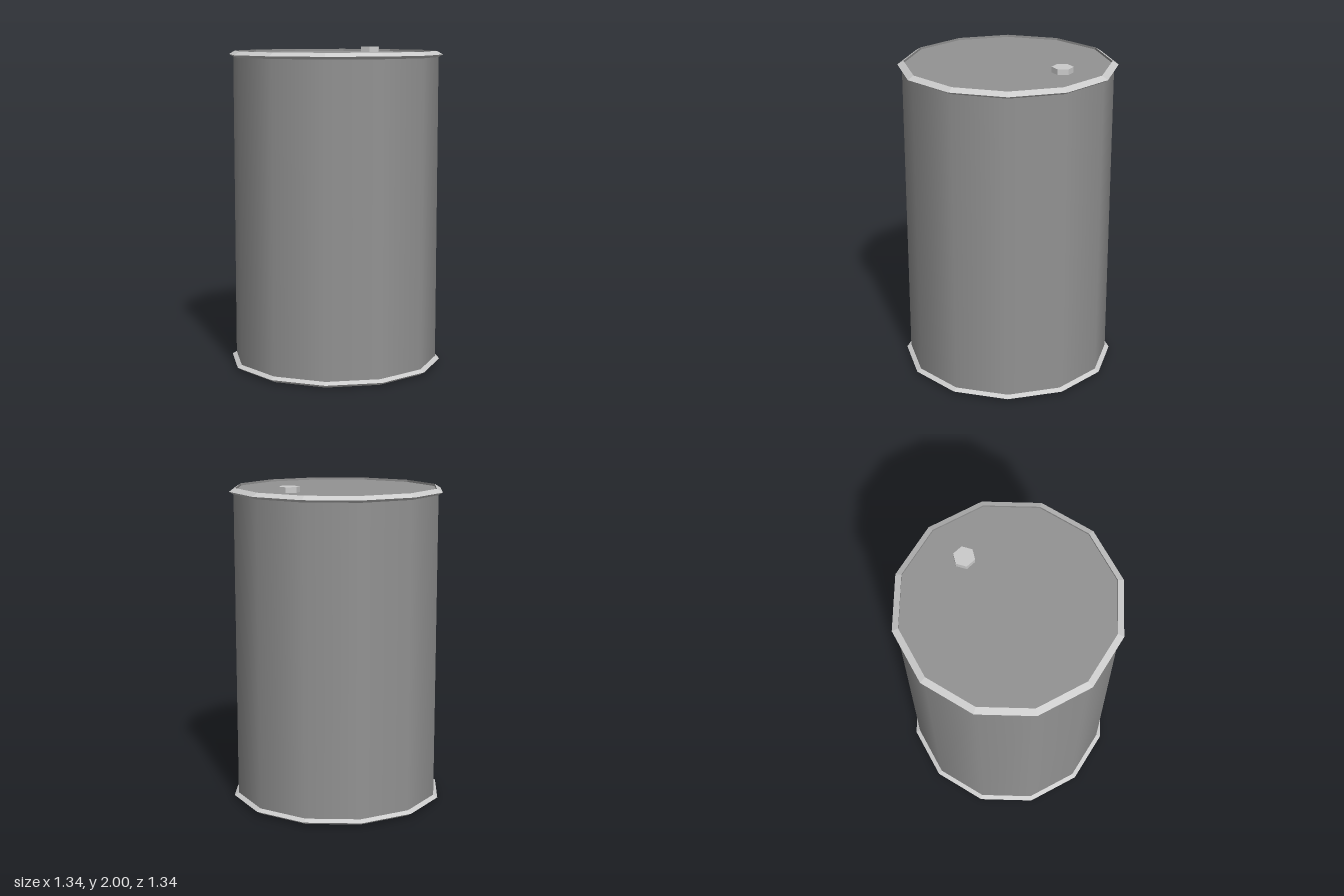
import * as THREE from 'three';

const SIDES = 12;
const HEIGHT = 1.98;   // drum without the bung
const RECESS = 0.014;  // depth of the end plates below the rims
const INNER = 0.632;   // radius inside the rims

export function createModel() {
  const group = new THREE.Group();
  const wallGrey = new THREE.MeshStandardMaterial({ color: 0x939393 });
  const plateGrey = new THREE.MeshStandardMaterial({ color: 0x939393, flatShading: true });
  const lightGrey = new THREE.MeshStandardMaterial({ color: 0xcccccc, flatShading: true });

  const add = (name, geometry, material, x, y, z) => {
    const mesh = new THREE.Mesh(geometry, material);
    mesh.name = name;
    mesh.position.set(x, y, z);
    group.add(mesh);
    return mesh;
  };
  const lathe = (points) => new THREE.LatheGeometry(
    points.map(([r, y]) => new THREE.Vector2(r, y)), SIDES);

  // smooth-shaded wall
  add('body', new THREE.CylinderGeometry(0.643, 0.643, HEIGHT - 0.06, SIDES, 1, true),
    wallGrey, 0, HEIGHT / 2, 0);

  // pointed light rim, and the dark plate with its short upstand inside it
  const rim = lathe([[0.643, -0.038], [0.67, -0.022], [INNER, 0]]);
  const plate = lathe([[INNER, 0], [INNER, -RECESS], [0, -RECESS]]);

  add('topRim', rim, lightGrey, 0, HEIGHT, 0);
  add('lid', plate, plateGrey, 0, HEIGHT, 0);

  // the lower end is the upper one turned over
  add('bottomRim', rim, lightGrey, 0, 0, 0).rotation.x = Math.PI;
  add('base', plate, plateGrey, 0, 0, 0).rotation.x = Math.PI;

  // hexagonal bung with corners along x
  const bung = new THREE.CylinderGeometry(0.065, 0.065, 0.034, 6).rotateY(Math.PI / 6);
  add('bung', bung, lightGrey, 0.333, 2 - 0.017, -0.18);

  return group;
}
